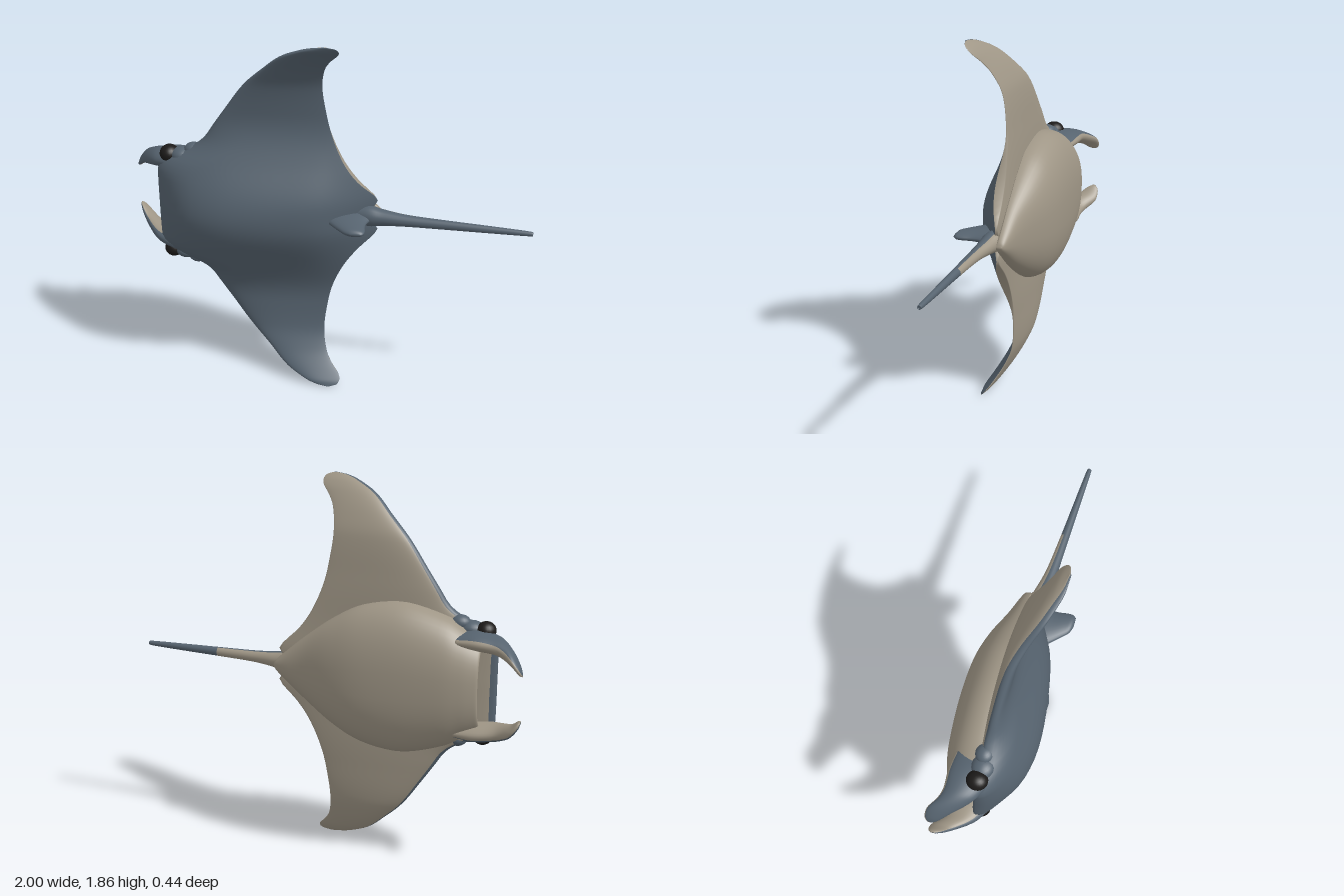
import * as THREE from 'three';

const MID = 0.933; // height of the ray's centre line (its wings spread along y)

// Smooth (Hermite) interpolation through [key, value] pairs
function curve(p) {
  const n = p.length;
  const slope = (i) => {
    const a = p[Math.max(i - 1, 0)], b = p[Math.min(i + 1, n - 1)];
    return (b[1] - a[1]) / (b[0] - a[0]);
  };
  return (x) => {
    x = Math.min(Math.max(x, p[0][0]), p[n - 1][0]);
    let i = 0;
    while (i < n - 2 && x > p[i + 1][0]) i++;
    const h = p[i + 1][0] - p[i][0], t = (x - p[i][0]) / h, t2 = t * t, t3 = t2 * t;
    return p[i][1] * (2 * t3 - 3 * t2 + 1) + p[i + 1][1] * (3 * t2 - 2 * t3)
      + h * (slope(i) * (t3 - 2 * t2 + t) + slope(i + 1) * (t3 - t2));
  };
}

// Resample a short list of section rows into n smooth rows
function refine(rows, n) {
  const cols = rows[0].map((_, c) => curve(rows.map((r, i) => [i, r[c]])));
  return Array.from({ length: n + 1 }, (_, i) => cols.map((f) => f(i / n * (rows.length - 1))));
}

// Skin closed rings; pick(i, j) chooses the material index of each quad
function loft(name, rings, mats, pick) {
  const pos = [], lists = mats.map(() => []), m = rings[0].length, n = rings.length;
  rings.forEach((r) => r.forEach((v) => pos.push(...v)));
  for (let i = 0; i < n - 1; i++) {
    for (let j = 0; j < m; j++) {
      const k = (j + 1) % m, a = i * m + j, b = i * m + k, c = b + m, d = a + m;
      lists[pick(i, j)].push(a, b, c, a, c, d);
    }
  }
  for (const i of [0, n - 1]) { // end caps
    const c = [0, 1, 2].map((q) => rings[i].reduce((s, v) => s + v[q], 0) / m);
    const id = pos.length / 3;
    pos.push(...c);
    for (let j = 0; j < m; j++) {
      const a = i * m + j, b = i * m + (j + 1) % m;
      lists[pick(Math.min(i, n - 2), j)].push(id, ...(i ? [a, b] : [b, a]));
    }
  }
  const g = new THREE.BufferGeometry();
  g.setAttribute('position', new THREE.Float32BufferAttribute(pos, 3));
  g.setIndex(lists.flat());
  let start = 0;
  lists.forEach((l, i) => { g.addGroup(start, l.length, i); start += l.length; });
  g.computeVertexNormals();
  const mesh = new THREE.Mesh(g, mats);
  mesh.name = name;
  return mesh;
}

const ring = (n, f) => Array.from({ length: n }, (_, j) => {
  const a = j / n * Math.PI * 2;
  return f(Math.cos(a), Math.sin(a));
});
const soft = (v, p) => Math.sign(v) * Math.abs(v) ** p;

export function createModel() {
  const material = (name, color) => {
    const m = new THREE.MeshStandardMaterial({ color });
    m.name = name;
    return m;
  };
  const blue = material('slateBlue', 0x56636f);
  const tan = material('bellyTan', 0x9f9686);
  const black = material('eyeBlack', 0x1c1a19);
  const skin = [blue, tan];
  const model = new THREE.Group();
  model.name = 'mantaRay';

  // Wings and back: airfoil sections from one wing tip to the other
  const lead = curve([[0, -0.85], [0.15, -0.85], [0.2, -0.845], [0.25, -0.8], [0.29, -0.72], [0.33, -0.65],
    [0.37, -0.605], [0.43, -0.565], [0.525, -0.5], [0.665, -0.4], [0.765, -0.3], [0.855, -0.2],
    [0.905, -0.1], [0.924, -0.04], [0.931, 0.01]]);
  const trail = curve([[0, 0.2], [0.04, 0.22], [0.07, 0.245], [0.1, 0.235], [0.185, 0.15], [0.285, 0.08],
    [0.425, 0.02], [0.565, -0.01], [0.685, -0.02], [0.785, 0], [0.835, 0.03], [0.88, 0.07],
    [0.905, 0.075], [0.923, 0.06], [0.931, 0.03]]);
  const base = curve([[0, -0.02], [0.3, -0.02], [0.465, -0.015], [0.665, 0.005], [0.765, 0.045],
    [0.86, 0.105], [0.931, 0.165]]);
  const thick = curve([[0, 0.04], [0.45, 0.036], [0.75, 0.032], [0.9, 0.022], [0.931, 0.005]]);
  const hump = curve([[-0.85, 0.08], [-0.7, 0.14], [-0.55, 0.175], [-0.4, 0.18], [-0.2, 0.165],
    [-0.05, 0.14], [0.05, 0.1], [0.15, 0.05], [0.25, 0]]);
  const foil = (u) => Math.max(0, 10 * (0.2969 * Math.sqrt(u) - 0.126 * u - 0.3516 * u * u
    + 0.2843 * u ** 3 - 0.1015 * u ** 4)) ** 0.8;
  const half = 28, stations = 110;
  const wingRings = Array.from({ length: stations + 1 }, (_, i) => {
    const y = 0.931 * Math.sin((i / stations - 0.5) * Math.PI), s = Math.abs(y);
    const x0 = lead(s), x1 = trail(s), z0 = base(s) + 0.035 * y;
    const across = s < 0.52 ? Math.cos(s / 0.52 * Math.PI / 2) ** 2 : 0;
    return Array.from({ length: 2 * half }, (_, j) => {
      const top = j <= half, k = top ? j : 2 * half - j;
      const u = (1 - Math.cos(k / half * Math.PI)) / 2;
      const x = x0 + (x1 - x0) * u, f = thick(s) * foil(u);
      const e = Math.min(1, (x - x0) / 0.2);
      const rise = hump(x) * across * Math.sqrt(1 - (1 - e) ** 2);
      return [x, y + MID, z0 + (top ? f + rise : -f)];
    });
  });
  model.add(loft('wingsAndBack', wingRings, skin, (i, j) => (j >= half && j < 2 * half - 3 ? 1 : 0)));

  // Belly, folding inward at the front to form the open mouth: x, half width, lowest z
  const bellyRows = refine([[-0.6, 0.12, -0.08], [-0.7, 0.17, -0.115], [-0.77, 0.2, -0.145],
    [-0.785, 0.215, -0.165], [-0.76, 0.235, -0.18], [-0.7, 0.27, -0.2], [-0.6, 0.325, -0.217],
    [-0.4, 0.375, -0.225], [-0.2, 0.345, -0.215], [-0.05, 0.27, -0.18], [0.1, 0.16, -0.118],
    [0.2, 0.075, -0.085], [0.25, 0.03, -0.065], [0.265, 0.005, -0.05]], 60);
  model.add(loft('belly', bellyRows.map(([x, w, z]) => ring(48, (c, s) => [
    x, MID + w * soft(c, 0.85), -0.035 + (s > 0 ? 0.015 * s : (-0.035 - z) * soft(s, 0.9))])),
  [tan], () => 0));

  // Tail: x, z, half width, half depth
  const tailRows = refine([[0.1, 0.0, 0.03, 0.03], [0.2, 0.01, 0.052, 0.05], [0.28, 0.022, 0.04, 0.042],
    [0.4, 0.04, 0.029, 0.03], [0.6, 0.058, 0.023, 0.022], [0.8, 0.074, 0.018, 0.017],
    [0.985, 0.089, 0.012, 0.012], [1, 0.09, 0.005, 0.005]], 40);
  model.add(loft('tail', tailRows.map(([x, z, w, d]) => ring(20, (c, s) => [x, MID + 0.005 + w * c, z + d * s])),
    skin, (i, j) => (j >= 11 && j < 19 && tailRows[i][0] < 0.58 ? 1 : 0)));

  // Dorsal fin: z, front x, rear x, half thickness
  const finRows = refine([[-0.01, -0.06, 0.25, 0.035], [0.07, -0.01, 0.21, 0.03], [0.12, 0.03, 0.2, 0.026],
    [0.17, 0.075, 0.205, 0.022], [0.2, 0.105, 0.203, 0.018], [0.215, 0.14, 0.19, 0.006]], 20);
  model.add(loft('dorsalFin', finRows.map(([z, a, b, t]) => ring(24, (c, s) => [
    (a + b) / 2 + (b - a) / 2 * c, MID + t * s, z])), [blue], () => 0));

  // Head lobes, eyes and brows on both sides
  const lobeRows = refine([[-1, 0.115, -0.195, 0.008, 0.012], [-0.985, 0.135, -0.187, 0.022, 0.035],
    [-0.95, 0.172, -0.162, 0.03, 0.057], [-0.9, 0.2, -0.112, 0.038, 0.07],
    [-0.85, 0.215, -0.082, 0.042, 0.083], [-0.76, 0.225, -0.06, 0.045, 0.105],
    [-0.66, 0.225, -0.06, 0.03, 0.09]], 30);
  for (const side of [1, -1]) {
    const name = side > 0 ? 'upper' : 'lower';
    model.add(loft(name + 'HeadLobe', lobeRows.map(([x, y, z, w, d]) => ring(28, (c, s) => [
      x, MID + side * y + w * c, z + d * s])), skin, (i, j) => {
      const a = (j + 0.5) / 28 * Math.PI * 2;
      return -0.85 * side * Math.cos(a) - 0.5 * Math.sin(a) > 0.1 ? 1 : 0;
    }));
    const ball = (part, mat, x, y, z, r, sx, sy) => {
      const mesh = new THREE.Mesh(new THREE.SphereGeometry(r, 20, 14), mat);
      mesh.name = name + part;
      mesh.position.set(x, MID + side * y, z);
      mesh.scale.set(sx, sy, 1);
      model.add(mesh);
    };
    ball('Eye', black, -0.79, 0.262, -0.02, 0.052, 0.92, 0.85);
    ball('Brow', blue, -0.72, 0.262, -0.01, 0.055, 1.1, 0.75);
    ball('Cheek', blue, -0.665, 0.29, -0.015, 0.045, 1.1, 0.85);
  }
  return model;
}
